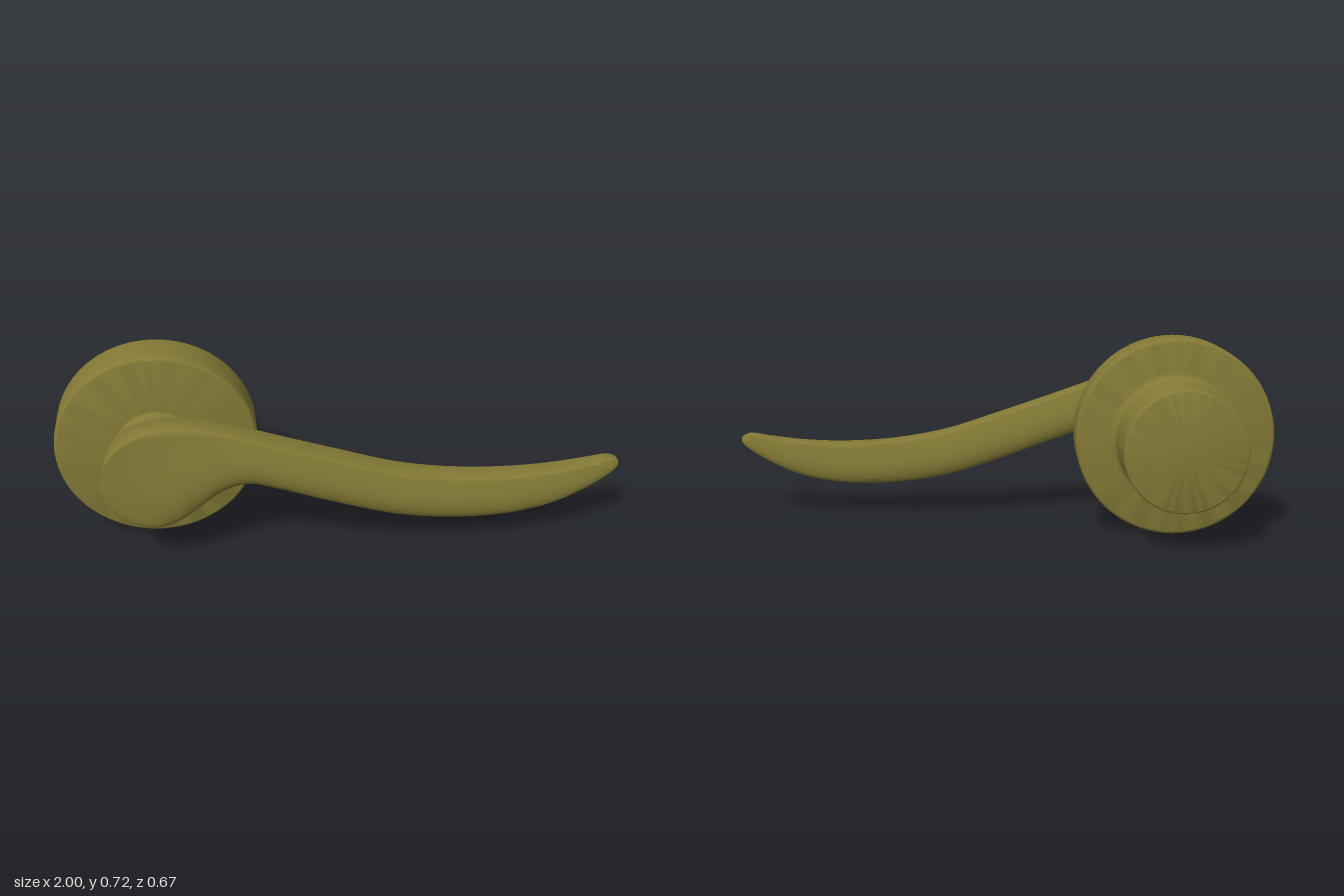
import * as THREE from 'three';
import { toCreasedNormals } from 'three/addons/utils/BufferGeometryUtils.js';

const brass = new THREE.MeshStandardMaterial({ color: 0x847a36 });
brass.name = 'aged brass';

// Round part turned about the z axis; profile is [radius, z] from back to front
function turned(name, profile) {
  const points = profile.map(([r, z]) => new THREE.Vector2(r, z));
  const geometry = new THREE.LatheGeometry(points, 72).rotateX(Math.PI / 2);
  const mesh = new THREE.Mesh(toCreasedNormals(geometry, 0.6), brass);
  mesh.name = name;
  mesh.position.set(-0.64, 0.362, 0);
  return mesh;
}

// Points of a quarter-circle corner, centre (r, z), from angle a0 to a1
function corner(r, z, radius, a0, a1, steps = 4) {
  return Array.from({ length: steps + 1 }, (_, i) => {
    const a = a0 + (a1 - a0) * i / steps;
    return [r + radius * Math.cos(a), z + radius * Math.sin(a)];
  });
}

// Lever stations: lower edge x, y, upper edge x, y, half rim depth, front swell, back swell
const stations = [
  [-0.83, 0.350, -0.83, 0.372, 0.043, 0, 0],
  [-0.815, 0.29, -0.812, 0.44, 0.047, 0, 0],
  [-0.77, 0.225, -0.76, 0.51, 0.047, 0.003, 0],
  [-0.71, 0.187, -0.69, 0.55, 0.047, 0.01, 0],
  [-0.65, 0.175, -0.60, 0.565, 0.047, 0.02, 0],
  [-0.58, 0.195, -0.53, 0.562, 0.047, 0.028, 0.002],
  [-0.50, 0.25, -0.46, 0.55, 0.047, 0.029, 0.012],
  [-0.42, 0.31, -0.38, 0.527, 0.046, 0.028, 0.021],
  [-0.33, 0.335, -0.29, 0.495, 0.046, 0.027, 0.022],
  [-0.24, 0.31, -0.20, 0.463, 0.046, 0.026, 0.022],
  [0, 0.222, 0, 0.395, 0.045, 0.026, 0.022],
  [0.2, 0.16, 0.2, 0.33, 0.044, 0.026, 0.022],
  [0.4, 0.13, 0.4, 0.293, 0.043, 0.024, 0.02],
  [0.6, 0.128, 0.6, 0.28, 0.041, 0.019, 0.017],
  [0.77, 0.158, 0.77, 0.287, 0.036, 0.015, 0.014],
  [0.9, 0.215, 0.9, 0.304, 0.03, 0.01, 0.01],
  [0.98, 0.265, 0.97, 0.315, 0.022, 0.006, 0.006],
  [1.0, 0.285, 0.997, 0.306, 0.015, 0.003, 0.003],
];

// Lever lofted through the stations, swelling to a soft ridge below mid height
function lever() {
  const curve = (f) => new THREE.CatmullRomCurve3(stations.map((s) => new THREE.Vector3(...f(s))));
  const lower = curve((s) => [s[0], s[1], 0]);
  const upper = curve((s) => [s[2], s[3], 0]);
  const depth = curve((s) => [s[4], s[5], s[6]]);
  const steps = [0, 0.01, 0.03, 0.08, 0.15, 0.22, 0.29, 0.35, 0.41, 0.49, 0.58, 0.68, 0.78, 0.87, 0.94, 0.97, 0.99, 1];
  const rows = (stations.length - 1) * 5;
  const n = steps.length * 2;
  const midZ = 0.258;
  const positions = [], indices = [];

  for (let i = 0; i <= rows; i++) {
    const lo = lower.getPoint(i / rows), up = upper.getPoint(i / rows), d = depth.getPoint(i / rows);
    for (let j = 0; j < n; j++) {
      const front = j < steps.length;
      const t = front ? steps[j] : steps[n - 1 - j];
      // Rounded rim edges, plus the swell
      const edge = Math.min(t, 1 - t);
      const rim = d.x * (edge === 0 ? 0.84 : edge < 0.02 ? 0.95 : 1);
      const swell = Math.sin(Math.PI * Math.pow(t, 0.66)) * Math.max(0, front ? d.y : d.z);
      const p = lo.clone().lerp(up, t);
      positions.push(p.x, p.y, midZ + (front ? rim + swell : -rim - swell));
    }
  }
  for (let i = 0; i < rows; i++) {
    for (let j = 0; j < n; j++) {
      const a = i * n + j, b = i * n + (j + 1) % n;
      indices.push(a, a + n, b, b, a + n, b + n);
    }
  }
  // End caps
  const last = rows * n;
  for (let j = 1; j < n - 1; j++) {
    indices.push(0, j, j + 1, last, last + j + 1, last + j);
  }
  const geometry = new THREE.BufferGeometry();
  geometry.setAttribute('position', new THREE.Float32BufferAttribute(positions, 3));
  geometry.setIndex(indices);
  const mesh = new THREE.Mesh(toCreasedNormals(geometry, 0.7), brass);
  mesh.name = 'lever';
  return mesh;
}

export function createModel() {
  const model = new THREE.Group();
  model.name = 'doorHandle';
  const q = Math.PI / 2;

  // Wide round plate with softened rims
  model.add(turned('rosePlate', [
    [0, -0.075],
    ...corner(0.345, -0.06, 0.015, -q, 0),
    ...corner(0.345, 0.065, 0.015, 0, q),
    [0, 0.08],
  ]));

  // Rear boss, flaring into the plate
  model.add(turned('rearBoss', [
    [0, -0.335],
    ...corner(0.207, -0.327, 0.008, -q, 0),
    ...corner(0.24, -0.1, 0.025, Math.PI, q, 6),
  ]));

  // Neck between plate and lever
  model.add(turned('neck', [
    ...corner(0.15, 0.09, 0.01, 1.5 * Math.PI, Math.PI),
    [0.14, 0.22],
    [0, 0.22],
  ]));

  model.add(lever());
  return model;
}
